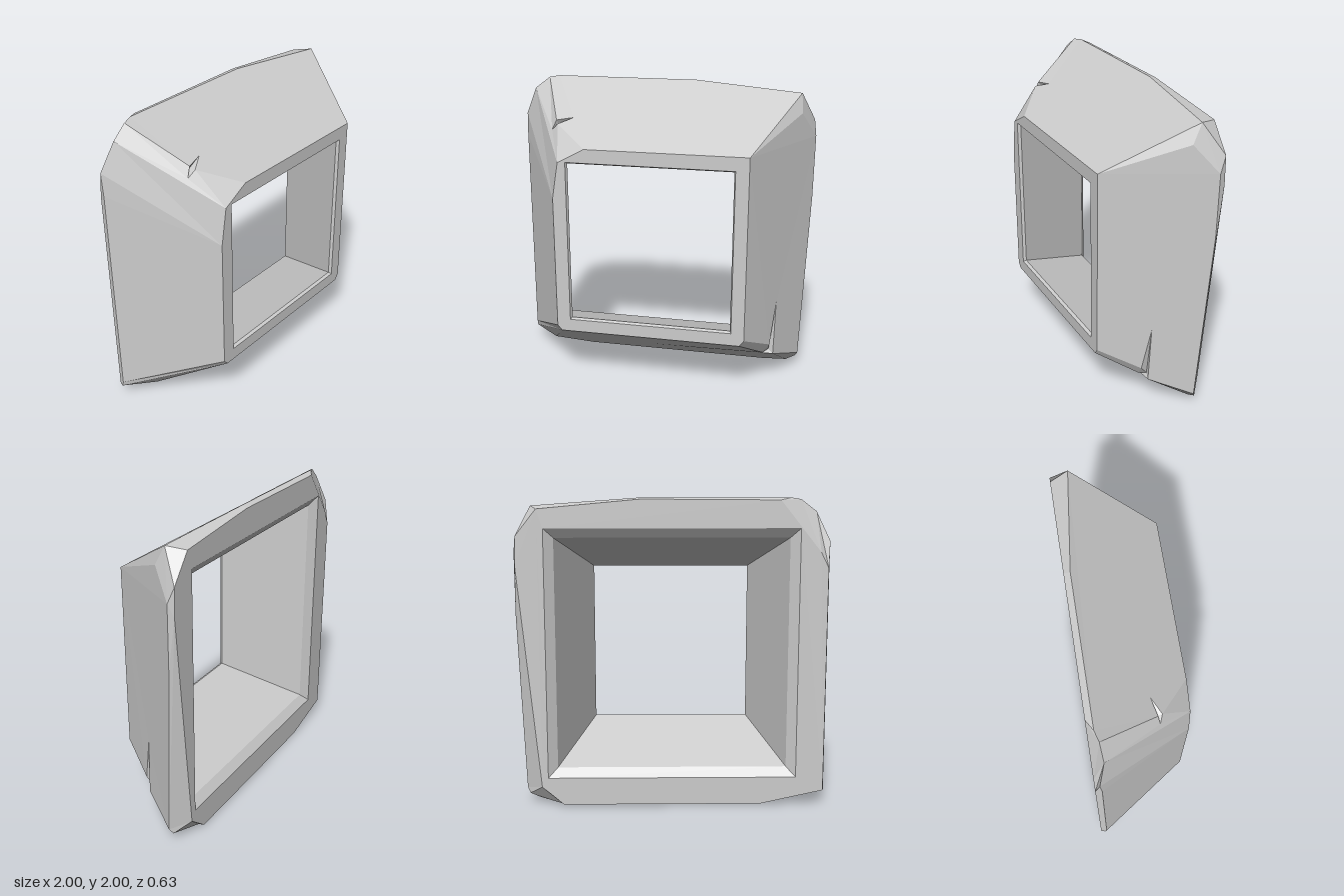
import * as THREE from 'three';

const Z = 0.315; // half depth

// Corners of the chipped frame, grouped by side
const P = {
  // front rim
  f0: [-0.42, 1.635, Z], f1: [-0.595, 1.54, Z], f2: [-0.635, 1.3, Z], f3: [-0.635, 0.405, Z],
  f4: [-0.605, 0.37, Z], f5: [0.6, 0.37, Z], f6: [0.63, 0.41, Z], f7: [0.63, 1.635, Z],
  // top edge and its corner chips
  tr: [0.9, 1.95, -0.2], t1: [0.2, 2, -0.275], t2: [-0.75, 2, -0.275],
  tc: [-0.815, 1.99, -0.255], td: [-0.915, 1.915, -0.245],
  // -x edge
  l1: [-1, 1.73, -0.285], l2: [-1, 1.58, -0.275], l3: [-1, 0.135, -0.275], l4: [-1, 0.1, -0.285],
  // bottom edge
  b1: [-0.81, 0.085, -0.145], b2: [-0.565, 0, -0.275], b3: [0.71, 0, -0.275],
  b4: [0.88, 0.035, -0.225], b5: [0.94, 0.065, -0.235],
  // +x edge
  r1: [1, 1.66, -0.275], r2: [0.998, 1.25, -0.273], r3: [0.96, 0.1, -0.215], ra: [0.91, 1.83, -0.14],
  // back rim
  B0: [0.2, 1.99, -Z], B1: [-0.68, 1.985, -Z], B2: [-0.94, 1.66, -Z], B3: [-0.99, 1.56, -Z],
  B4: [-0.99, 0.1, -Z], B5: [-0.58, 0.01, -Z], B6: [0.71, 0.01, -Z], B7: [0.85, 0.13, -Z],
  B8: [0.99, 1.58, -Z], B9: [0.985, 1.76, -Z], B10: [0.85, 1.93, -Z],
  // upper crack
  e1: [-0.66, 1.77, 0.1], e2: [-0.645, 1.75, 0.128], et: [-0.55, 1.785, 0.073],
  em: [-0.69, 1.705, 0.11], ek: [-0.65, 1.74, 0.08],
  // lower crack
  c1: [0.81, 0.58, 0.025], c2: [0.78, 0.285, 0.075], c3: [0.735, 0.22, 0.072],
  c4: [0.69, 0.21, 0.057], c5: [0.803, 0.2, 0.037], ck: [0.77, 0.23, 0.03],
};

// Outside faces, counter-clockwise
const FACES = [
  'f0 f7 tr t1 t2 tc e1 et e2', 'f1 f0 e2', 'f1 e2 em e1 tc td', // top and upper chip
  'f2 f1 td l1 l2', 'f3 f2 l2 l3', 'f4 f3 l3 l4 b1', 'b1 l4 b2', // -x side
  'f5 f4 b1 b2 b3 b4 c5 c4 c3', 'f6 f5 c3 c2', 'c5 b4 b5 r3', // bottom
  'f7 f6 c2 c1 c5 r3 r2 r1 ra', 'tr f7 ra', 'tr ra r1 B9', 'tr B9 B10', // +x side
  't1 tr B10 B0', 't2 t1 B0 B1', 'tc t2 B1 B2 td', 'td B2 B3 l1', 'l1 B3 l2', // rear bevel
  'l2 B3 B4 l3', 'l3 B4 l4', 'l4 B4 B5 b2', 'b2 B5 B6 b3', 'b3 B6 B7 b5 b4',
  'b5 B7 r3', 'r3 B7 B8 r2', 'r2 B8 r1', 'r1 B8 B9',
];

const vec = (name) => new THREE.Vector3(...P[name]);
const loop = (names) => names.split(' ').map(vec);

// A square ring of the opening
const square = (h, z) => [[-1, -1], [1, -1], [1, 1], [-1, 1]]
  .map(([x, y]) => new THREE.Vector3(x * h, 1 + y * h, z));

// Triangulates a roughly flat polygon, with an optional hole, in its own plane
function addPolygon(out, points, hole = []) {
  const n = new THREE.Vector3();
  points.forEach((p, i) => n.add(p.clone().cross(points[(i + 1) % points.length])));
  n.normalize();
  const u = points[1].clone().sub(points[0]).cross(n).normalize();
  const v = n.clone().cross(u);
  const flat = (p) => new THREE.Vector2(p.dot(u), p.dot(v));
  const all = [...points, ...hole];
  const tris = THREE.ShapeUtils.triangulateShape(points.map(flat), hole.length ? [hole.map(flat)] : []);
  for (const [a, b, c] of tris) {
    const facing = all[b].clone().sub(all[a]).cross(all[c].clone().sub(all[a])).dot(n);
    const order = facing >= 0 ? [a, b, c] : [a, c, b];
    order.forEach((i) => out.push(...all[i].toArray()));
  }
}

// Fans a crack's rim down to its deepest point
function addCrack(out, rim, deepest) {
  rim.forEach((p, i) => addPolygon(out, [p, rim[(i + 1) % rim.length], deepest]));
}

function makeMesh(name, positions) {
  const geometry = new THREE.BufferGeometry();
  geometry.setAttribute('position', new THREE.Float32BufferAttribute(positions, 3));
  geometry.computeVertexNormals();
  const mesh = new THREE.Mesh(geometry, new THREE.MeshStandardMaterial({
    color: 0xcccccc, flatShading: true, side: THREE.DoubleSide,
  }));
  mesh.name = name;
  return mesh;
}

export function createModel() {
  const group = new THREE.Group();
  group.name = 'chippedWindowFrame';

  // Opening profile from front to back: half width and depth
  const rings = [[0.545, Z], [0.535, 0.295], [0.75, -0.27], [0.81, -Z]].map(([h, z]) => square(h, z));

  // Sloping, chipped outside
  const outside = [];
  FACES.forEach((names) => addPolygon(outside, loop(names)));
  group.add(makeMesh('outerFaces', outside));

  // Flat front and back borders around the opening
  const front = [];
  addPolygon(front, loop('f0 f1 f2 f3 f4 f5 f6 f7'), rings[0]);
  group.add(makeMesh('frontBorder', front));
  const back = [];
  addPolygon(back, loop('B0 B10 B9 B8 B7 B6 B5 B4 B3 B2 B1'), rings[3]);
  group.add(makeMesh('backBorder', back));

  // Inner walls, widening towards the back
  const walls = [];
  for (let r = 0; r < 3; r++) {
    for (let i = 0; i < 4; i++) {
      const j = (i + 1) % 4;
      addPolygon(walls, [rings[r][i], rings[r][j], rings[r + 1][j], rings[r + 1][i]]);
    }
  }
  group.add(makeMesh('innerWalls', walls));

  // Cracks
  const upper = [];
  addCrack(upper, loop('e2 et e1 em'), vec('ek'));
  group.add(makeMesh('upperCrack', upper));
  const lower = [];
  addCrack(lower, loop('c1 c2 c3 c4 c5'), vec('ck'));
  group.add(makeMesh('lowerCrack', lower));

  return group;
}
